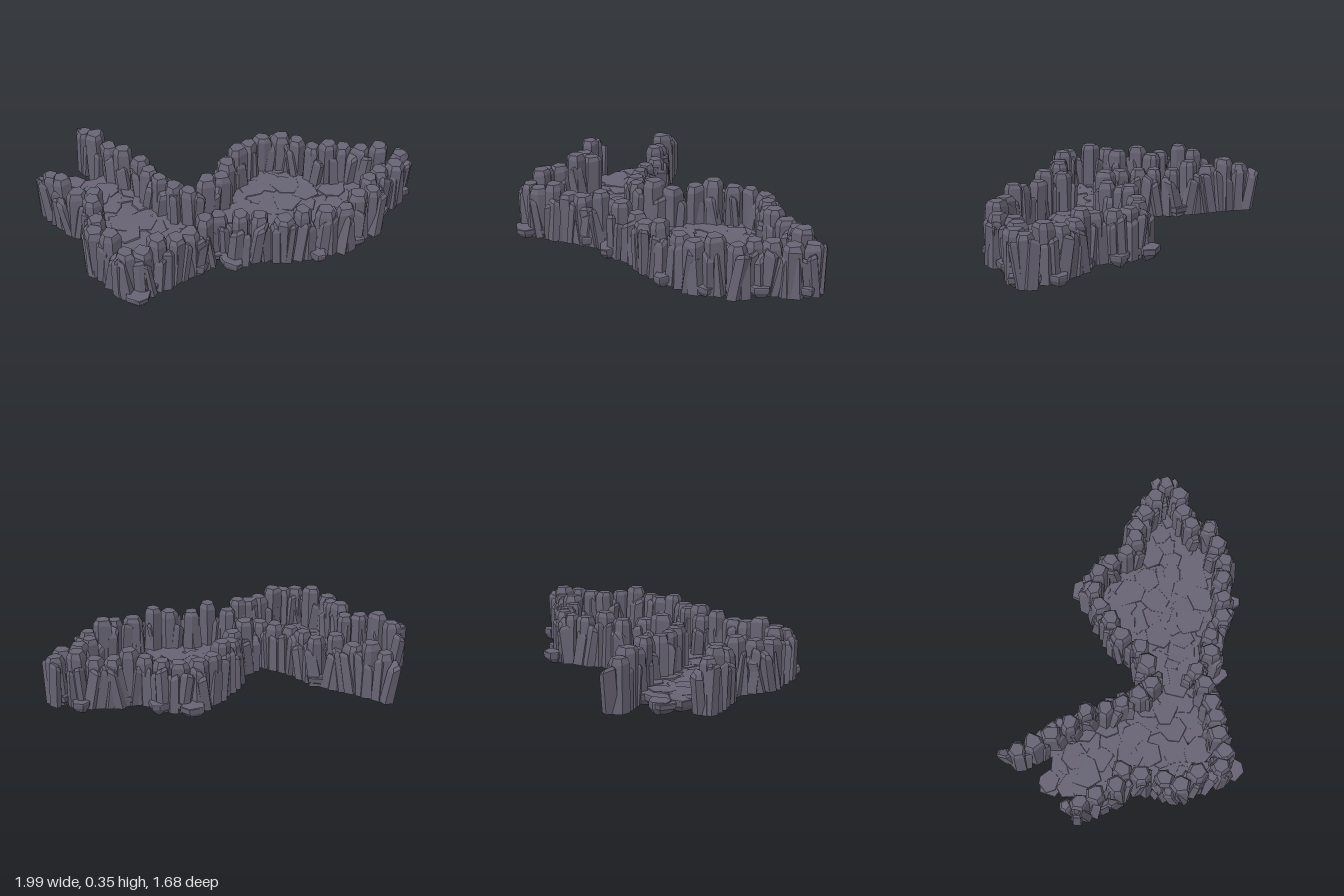
import * as THREE from 'three';
import { mergeGeometries } from 'three/addons/utils/BufferGeometryUtils.js';

// Small seeded random generator
let seed = 7;
const rand = (a = 0, b = 1) => {
  seed = (seed * 16807) % 2147483647;
  return a + (b - a) * (seed / 2147483647);
};

// Pillar centres (x, z), from the left end of the opening round to the right end
const WALL = [
  [-0.89, -0.48], [-0.87, -0.37], [-0.85, -0.25], [-0.77, -0.19], [-0.82, -0.09], [-0.87, 0.02],
  [-0.92, 0.11], [-0.9, 0.22], [-0.88, 0.36], [-0.8, 0.4], [-0.7, 0.4], [-0.6, 0.4], [-0.5, 0.4],
  [-0.4, 0.4], [-0.28, 0.38], [-0.22, 0.49], [-0.1, 0.53], [0, 0.61], [0.1, 0.66], [0.23, 0.7],
  [0.33, 0.73], [0.45, 0.71], [0.57, 0.7], [0.62, 0.61], [0.72, 0.59], [0.83, 0.58], [0.92, 0.52],
  [0.84, 0.43], [0.77, 0.35], [0.7, 0.28], [0.62, 0.25], [0.54, 0.18], [0.51, 0.06], [0.46, -0.02],
  [0.36, -0.08], [0.24, -0.07], [0.13, -0.03], [0.02, 0], [-0.08, 0.09], [-0.19, 0.1], [-0.3, 0.11],
  [-0.35, 0.02], [-0.38, -0.1], [-0.39, -0.2], [-0.38, -0.31], [-0.42, -0.42], [-0.45, -0.53],
  [-0.48, -0.64], [-0.51, -0.75],
];
// Which pillars stand taller than the rest
const TALL = new Set([1, 4, 7, 10, 13, 15, 18, 21, 27, 30, 36, 39, 45, 47]);
// Floor edge across the opening
const OPENING = [[-0.54, -0.6], [-0.67, -0.62], [-0.8, -0.5]];
// Loose stones lying outside the wall
const LOOSE = [
  [0.45, -0.13], [0.88, 0.36], [-0.87, 0.45], [-0.29, 0.52], [0.15, 0.72], [0.67, 0.64], [0.56, 0.04],
  [-0.67, -0.62], [-0.48, 0.42], [0.4, 0.74],
];

// Irregular faceted stone from rings { y, r, x, z, tilt }, listed bottom to top
function stone(sides, rings, rough) {
  const turn = rand(0, 6.28);
  const spokes = Array.from({ length: sides }, (_, i) => ({
    a: turn + ((i + rand(-0.25, 0.25)) / sides) * Math.PI * 2,
    k: 1 + rand(-rough, rough),
  }));
  const loops = rings.map(({ y, r, x, z, tilt = 0 }) => spokes.map(({ a, k }) => [
    x + Math.cos(a) * r * k,
    y + tilt * Math.cos(a - turn) * r,
    z + Math.sin(a) * r * k,
  ]));
  const centre = (loop) => [0, 1, 2].map((c) => loop.reduce((s, p) => s + p[c], 0) / sides);
  const first = loops[0], last = loops[loops.length - 1];
  const bottom = centre(first), top = centre(last);
  const out = [];
  for (let i = 0; i < sides; i++) {
    const j = (i + 1) % sides;
    for (let n = 0; n < loops.length - 1; n++) {
      const lo = loops[n], up = loops[n + 1];
      out.push(...lo[i], ...up[i], ...up[j], ...lo[i], ...up[j], ...lo[j]);
    }
    out.push(...bottom, ...first[i], ...first[j], ...top, ...last[j], ...last[i]);
  }
  const g = new THREE.BufferGeometry();
  g.setAttribute('position', new THREE.Float32BufferAttribute(out, 3));
  g.computeVertexNormals();
  return g;
}

// Flat-topped floor stone with a rounded, pointed underside
function floorStone(x, z, r) {
  const top = rand(0.076, 0.086);
  const px = x + rand(-0.02, 0.02), pz = z + rand(-0.02, 0.02);
  return stone(6, [
    { y: rand(0, 0.006), r: 0.006, x: px, z: pz },
    { y: 0.018, r: r * 0.6, x, z, tilt: rand(-0.12, 0.12) },
    { y: 0.048, r: r * 0.95, x, z },
    { y: top - 0.006, r, x, z },
    { y: top, r: r * 0.96, x, z, tilt: rand(-0.05, 0.05) },
  ], 0.2);
}

// Upright pillar with a bevelled shoulder at the top
function pillar(x, z, height) {
  const r = rand(0.054, 0.062), lx = rand(-0.01, 0.01), lz = rand(-0.01, 0.01);
  return stone(6, [
    { y: 0.02, r: r * 1.05, x, z },
    { y: height - 0.03, r, x: x + lx, z: z + lz, tilt: 0.15 },
    { y: height, r: r * 0.74, x: x + lx, z: z + lz },
  ], 0.16);
}

// Shorter, stout shard leaning along and away from the wall, with a sloping top
function shard(x, z, outX, outZ) {
  const r = rand(0.034, 0.046), h = rand(0.23, 0.29);
  const side = rand(-0.045, 0.045), out = rand(-0.01, 0.012);
  const tx = x + outX * out - outZ * side, tz = z + outZ * out + outX * side;
  return stone(5, [
    { y: 0.022, r: r * 1.05, x, z },
    { y: h - 0.02, r, x: tx, z: tz, tilt: 0.5 },
    { y: h, r: r * 0.65, x: tx, z: tz, tilt: 0.6 },
  ], 0.18);
}

function inside(x, z, poly) {
  let hit = false;
  poly.forEach(([ax, az], i) => {
    const [bx, bz] = poly[(i + 1) % poly.length];
    if ((az > z) !== (bz > z) && x < ((bx - ax) * (z - az)) / (bz - az) + ax) hit = !hit;
  });
  return hit;
}

export function createModel() {
  seed = 7;
  const group = new THREE.Group();
  const material = new THREE.MeshStandardMaterial({ color: 0x676373, flatShading: true });
  const add = (name, parts) => {
    const mesh = new THREE.Mesh(mergeGeometries(parts), material);
    mesh.name = name;
    group.add(mesh);
  };

  // Floor: staggered grid of overlapping stones within the wall
  const outline = [...WALL, ...OPENING];
  const floor = [];
  const step = 0.112;
  for (let row = 0; row < 18; row++) {
    for (let col = 0; col < 19; col++) {
      const x = -1 + (col + (row % 2) / 2) * step + rand(-0.018, 0.018);
      const z = -0.8 + row * step * 0.866 + rand(-0.018, 0.018);
      if (inside(x, z, outline)) floor.push(floorStone(x, z, rand(0.08, 0.098)));
    }
  }
  add('floorStones', floor);
  add('looseStones', LOOSE.map(([x, z]) => floorStone(x, z, rand(0.064, 0.074))));

  // Wall: a pillar at each point, flanked by shards outside and inside
  const pillars = [], shards = [];
  WALL.forEach(([x, z], i) => {
    const a = WALL[Math.max(i - 1, 0)], b = WALL[Math.min(i + 1, WALL.length - 1)];
    const tx = b[0] - a[0], tz = b[1] - a[1], len = Math.hypot(tx, tz);
    const ox = -tz / len, oz = tx / len;
    pillars.push(pillar(x, z, TALL.has(i) ? 0.355 : 0.318));
    for (const [out, along] of [[0.032, 0.03], [0.035, -0.025], [-0.03, 0.03]]) {
      shards.push(shard(x + ox * out - oz * along, z + oz * out + ox * along, ox, oz));
    }
  });
  add('wallPillars', pillars);
  add('wallShards', shards);
  return group;
}
